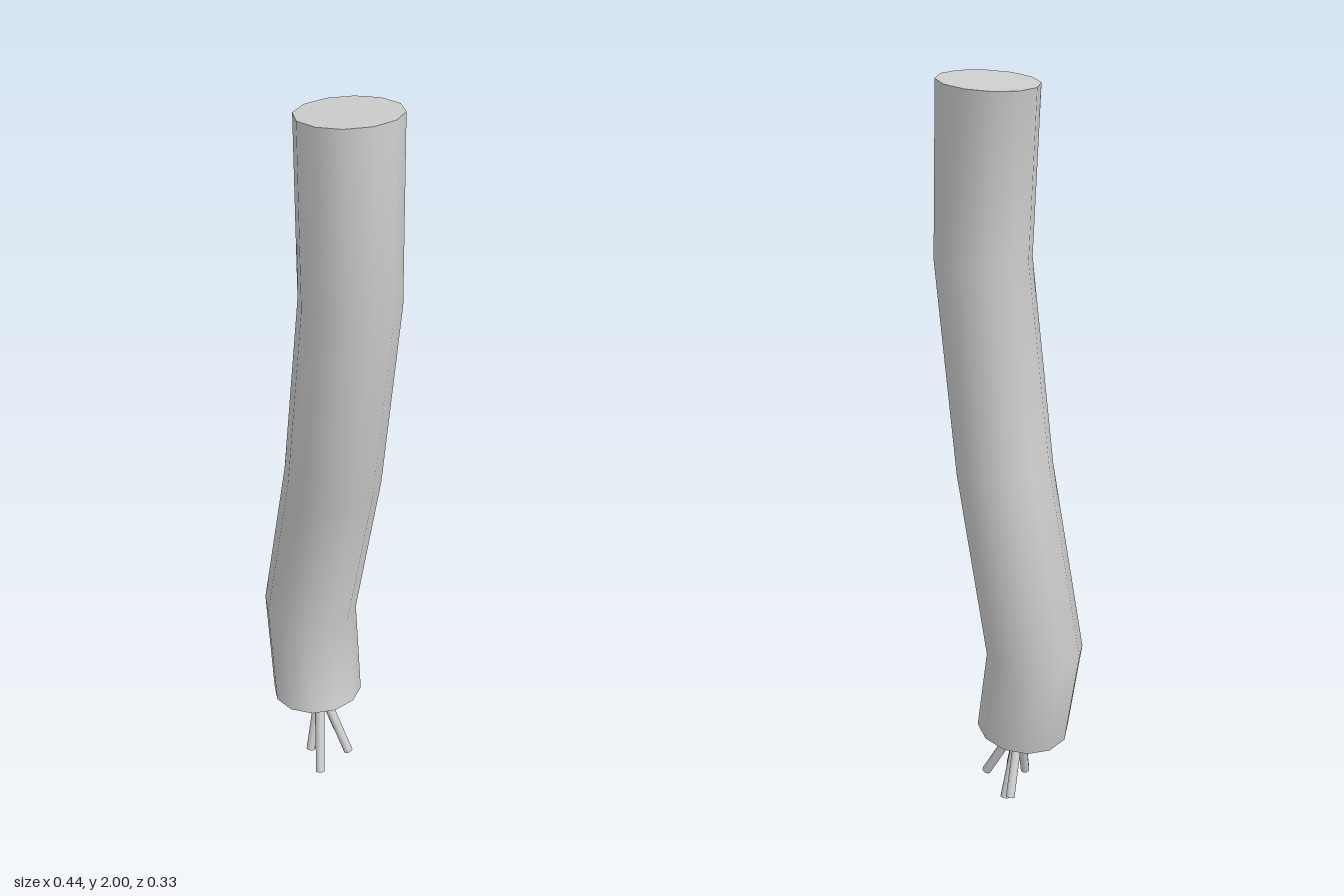
import * as THREE from 'three';

const SIDES = 12;

// Ring: centre x, y, z, radius, then slope of the ring in x and z
const RINGS = [
  [-0.037, 0.227, 0, 0.127, 0.12, 0.05],
  [-0.088, 0.5, -0.037, 0.13, -0.06, -0.01],
  [0.017, 1.0, 0, 0.127, -0.14, -0.05],
  [0.094, 1.547, 0.038, 0.125, -0.02, -0.01],
  [0.059, 1.99, 0, 0.127, 0.075, 0.03],
];

// Wire ends, below the lower cap
const WIRE_ROOT = new THREE.Vector3(-0.028, 0.232, 0);
const WIRE_ENDS = [
  [0.046, 0.011, 0.1],
  [-0.018, 0.034, 0.06],
  [0.08, 0.038, 0.005],
  [-0.012, 0.02, -0.068],
  [-0.052, 0.062, -0.118],
];

function ringPoints([cx, cy, cz, r, sx, sz]) {
  const pts = [];
  for (let i = 0; i < SIDES; i++) {
    const t = (i / SIDES) * Math.PI * 2;
    const dx = r * Math.cos(t), dz = -r * Math.sin(t);
    pts.push(cx + dx, cy + sx * dx + sz * dz, cz + dz);
  }
  return pts;
}

function indexed(positions, index) {
  const g = new THREE.BufferGeometry();
  g.setAttribute('position', new THREE.Float32BufferAttribute(positions, 3));
  g.setIndex(index);
  g.computeVertexNormals();
  return g;
}

// Smooth skin through the rings
function skinGeometry() {
  const index = [];
  for (let k = 0; k < RINGS.length - 1; k++) {
    for (let i = 0; i < SIDES; i++) {
      const j = (i + 1) % SIDES;
      const a = k * SIDES + i, b = k * SIDES + j;
      index.push(a, b, b + SIDES, a, b + SIDES, a + SIDES);
    }
  }
  return indexed(RINGS.flatMap(ringPoints), index);
}

// Flat end cap as a fan
function capGeometry(ring, up) {
  const index = [];
  for (let i = 1; i < SIDES - 1; i++) index.push(0, up ? i : i + 1, up ? i + 1 : i);
  return indexed(ringPoints(ring), index);
}

export function createModel() {
  const model = new THREE.Group();
  model.name = 'bentStalk';
  const grey = new THREE.MeshStandardMaterial({ color: 0xcccccc });
  grey.name = 'lightGrey';

  const add = (name, geometry) => {
    const mesh = new THREE.Mesh(geometry, grey);
    mesh.name = name;
    model.add(mesh);
    return mesh;
  };

  add('stem', skinGeometry());
  add('topCap', capGeometry(RINGS[RINGS.length - 1], true));
  add('bottomCap', capGeometry(RINGS[0], false));

  // Thin roots fanning out from the lower cap
  const up = new THREE.Vector3(0, 1, 0);
  WIRE_ENDS.forEach((e, i) => {
    const end = new THREE.Vector3(...e);
    const dir = WIRE_ROOT.clone().sub(end);
    const root = add('root' + (i + 1), new THREE.CylinderGeometry(0.013, 0.013, dir.length(), 8));
    root.position.copy(WIRE_ROOT).add(end).multiplyScalar(0.5);
    root.quaternion.setFromUnitVectors(up, dir.normalize());
  });

  return model;
}
